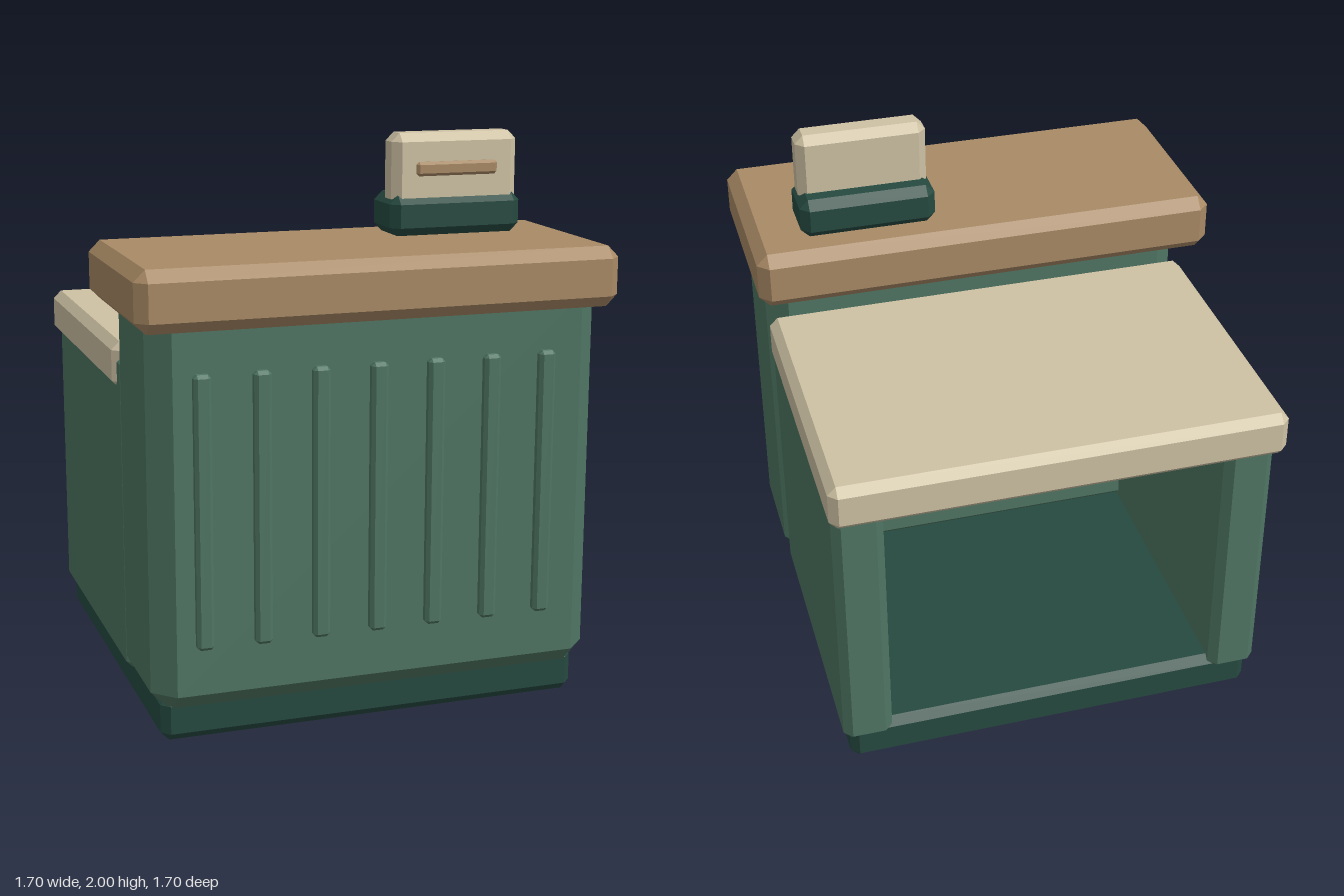
import * as THREE from 'three';
import { ConvexGeometry } from 'three/addons/geometries/ConvexGeometry.js';

const material = (name, color) => {
  const m = new THREE.MeshStandardMaterial({ color });
  m.name = name;
  return m;
};

// Box between two corners with every edge cut back by c
function bevelBox(min, max, c) {
  const lo = new THREE.Vector3(...min), hi = new THREE.Vector3(...max);
  const centre = lo.clone().add(hi).multiplyScalar(0.5);
  const half = hi.clone().sub(lo).multiplyScalar(0.5);
  const points = [];
  for (const sx of [-1, 1]) for (const sy of [-1, 1]) for (const sz of [-1, 1]) {
    for (let axis = 0; axis < 3; axis++) {
      // each corner becomes three points, one on each adjoining face
      const p = half.clone().subScalar(c);
      p.setComponent(axis, half.getComponent(axis));
      points.push(p.multiply(new THREE.Vector3(sx, sy, sz)));
    }
  }
  const geometry = new ConvexGeometry(points);
  geometry.translate(centre.x, centre.y, centre.z);
  return geometry;
}

export function createModel() {
  const green = material('cabinet green', 0x4f7563);
  const dark = material('dark green', 0x264a40);
  const wood = material('wood brown', 0xa98a65);
  const cream = material('cream', 0xcec2a4);

  const model = new THREE.Group();
  model.name = 'serviceCounter';
  const add = (name, mat, min, max, c, parent = model) => {
    const mesh = new THREE.Mesh(bevelBox(min, max, c), mat);
    mesh.name = name;
    parent.add(mesh);
  };

  // Base and tall front cabinet
  add('plinth', dark, [-0.765, 0, -0.76], [0.765, 0.16, 0.74], 0.03);
  add('frontCabinet', green, [-0.8, 0.11, 0.29], [0.8, 1.55, 0.8], 0.075);
  add('counterTop', wood, [-0.85, 1.43, 0.09], [0.85, 1.64, 0.85], 0.04);

  // Raised slats on the front
  const slats = new THREE.Group();
  slats.name = 'frontSlats';
  model.add(slats);
  for (let i = 0; i < 7; i++) {
    const x = -0.63 + i * 0.2035;
    add('slat', green, [x - 0.03, 0.35, 0.77], [x + 0.03, 1.29, 0.83], 0.012, slats);
  }

  // Lower desk at the back, open underneath
  for (const [name, x0, x1] of [['leftSidePanel', 0.61, 0.79], ['rightSidePanel', -0.79, -0.61]]) {
    add(name, green, [x0, 0.11, -0.78], [x1, 1.26, 0.34], 0.03);
  }
  add('deskTop', cream, [-0.805, 1.13, -0.85], [0.805, 1.3, 0.28], 0.03);

  // Small display standing on the counter
  const display = new THREE.Group();
  display.name = 'counterDisplay';
  model.add(display);
  add('displayBase', dark, [0.175, 1.638, 0.19], [0.67, 1.785, 0.41], 0.032, display);
  add('displayPanel', cream, [0.187, 1.74, 0.27], [0.66, 2, 0.39], 0.03, display);
  add('displayBar', wood, [0.27, 1.85, 0.375], [0.575, 1.9, 0.405], 0.01, display);

  return model;
}
